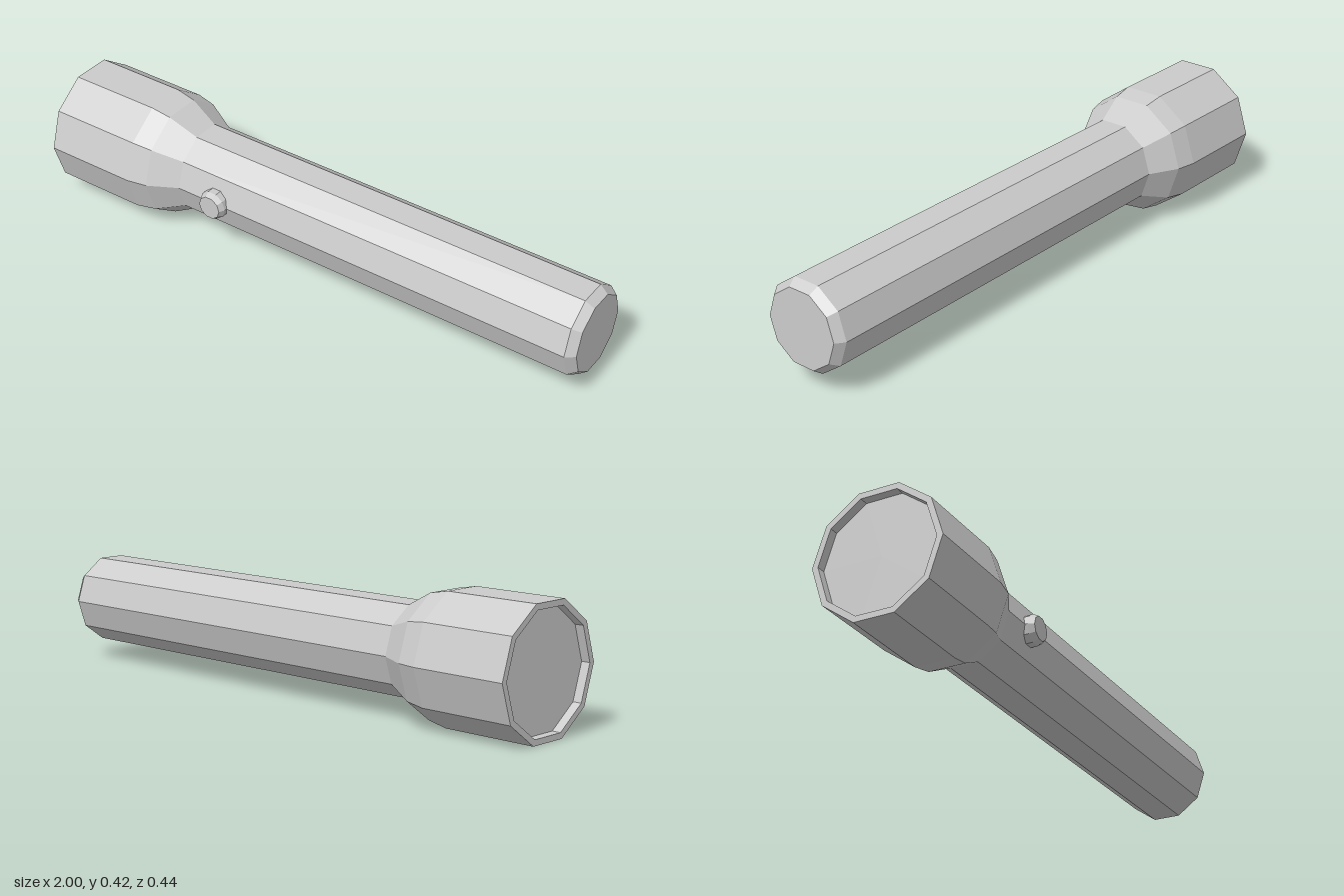
import * as THREE from 'three';

const AXIS_Y = 0.21;
const SIDES = 10;

// Faceted solid of revolution from [radius, height] pairs
function lathe(name, profile, phiStart = 0) {
  const points = profile.map(([r, h]) => new THREE.Vector2(r, h));
  const material = new THREE.MeshStandardMaterial({ color: 0xcccccc, flatShading: true });
  const mesh = new THREE.Mesh(new THREE.LatheGeometry(points, SIDES, phiStart), material);
  mesh.name = name;
  return mesh;
}

export function createModel() {
  const group = new THREE.Group();
  group.name = 'flashlight';

  // Recessed lens, rim, flared head, handle and bevelled tail along x
  const body = lathe('body', [
    [0, -0.97], [0.2, -0.97], [0.2, -1], [0.2205, -1],
    [0.2205, -0.67], [0.207, -0.6], [0.154, -0.5],
    [0.154, 0.97], [0.132, 1], [0, 1],
  ]);
  body.geometry.rotateZ(-Math.PI / 2);
  body.position.y = AXIS_Y;
  group.add(body);

  // Bevelled switch button on the front side
  const button = lathe('switchButton', [
    [0, 0.13], [0.051, 0.13], [0.051, 0.163], [0.041, 0.182], [0, 0.182],
  ], Math.PI / 2);
  button.geometry.rotateX(Math.PI / 2);
  button.position.set(-0.35, AXIS_Y, 0);
  group.add(button);

  return group;
}
